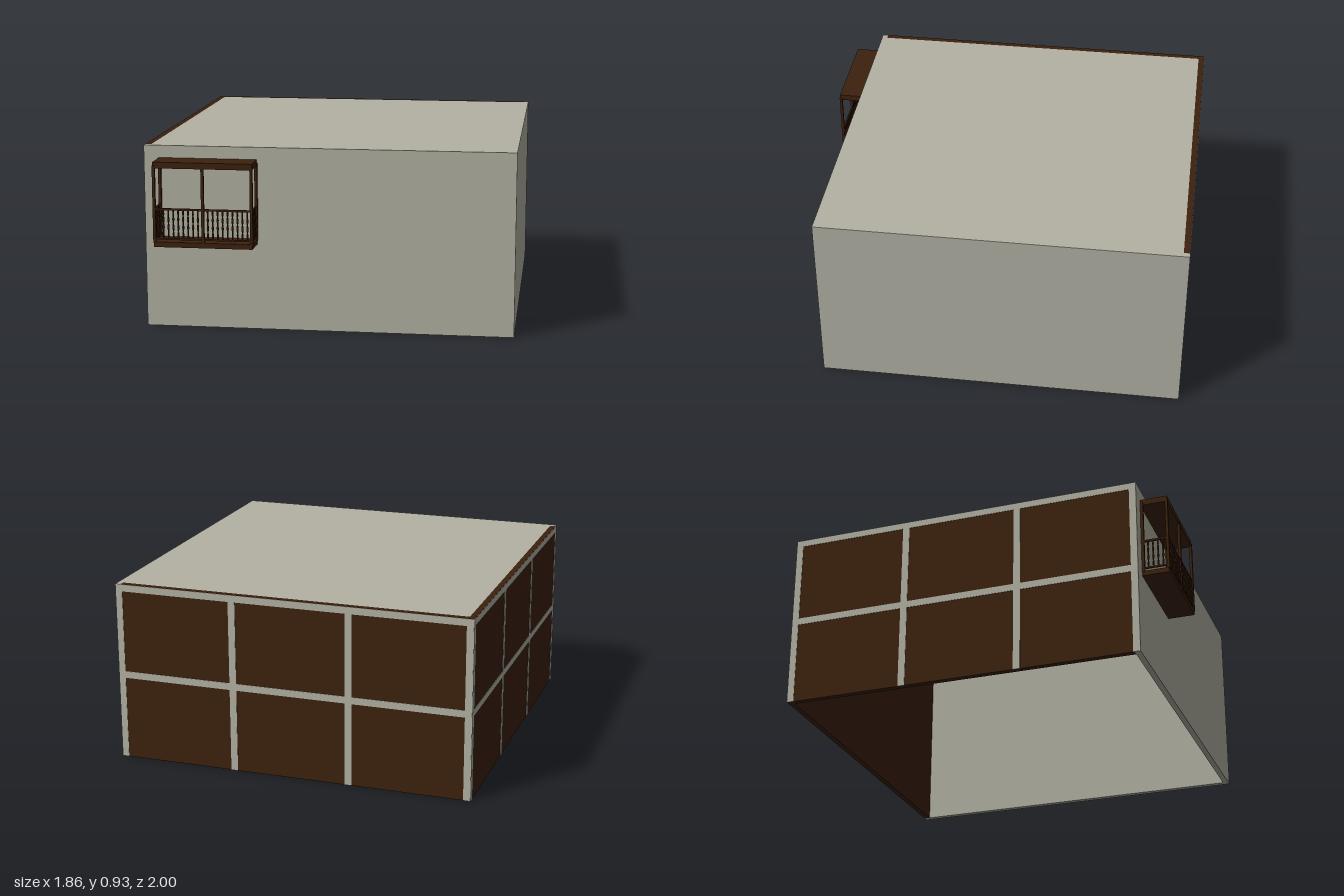
import * as THREE from 'three';

export function createModel() {
  const model = new THREE.Group();
  const plaster = new THREE.MeshStandardMaterial({ color: 0xb3b2a4 });
  plaster.name = 'plaster grey';
  const wood = new THREE.MeshStandardMaterial({ color: 0x3d210e });
  wood.name = 'dark wood';

  // Box given by its limits on each axis
  function box(name, material, [x0, x1], [y0, y1], [z0, z1], parent = model) {
    const mesh = new THREE.Mesh(new THREE.BoxGeometry(x1 - x0, y1 - y0, z1 - z0), material);
    mesh.position.set((x0 + x1) / 2, (y0 + y1) / 2, (z0 + z1) / 2);
    mesh.name = name;
    parent.add(mesh);
    return mesh;
  }

  const W = 0.93, H = 0.93, T = 0.03, back = -0.998, front = 0.86;

  // Shell, open underneath: two plain walls, two wooden walls and a roof
  box('frontWall', plaster, [-W, W], [0, H], [front - T, front]);
  box('rightWall', plaster, [W - T, W], [0, H], [back, front - T]);
  box('backWoodWall', wood, [-W, W - T], [0, H], [back, back + T]);
  box('sideWoodWall', wood, [-W, -W + T], [0, H], [back + T, front - T]);
  box('roof', plaster, [-W + T, W - T], [H - T, H], [back + T, front - T]);

  // Frame strips dividing each wooden wall into three by two panels
  const strip = 0.036, proud = 0.002;
  function frame(name, a0, a1, place) {
    const group = new THREE.Group();
    group.name = name;
    model.add(group);
    for (let i = 0; i <= 3; i++) {
      const c = a0 + strip / 2 + (a1 - a0 - strip) * i / 3;
      place(group, 'upright', [c - strip / 2, c + strip / 2], [0, H - 0.001]);
    }
    for (const y of [0.45, H - 0.001 - strip / 2])
      place(group, 'crossbar', [a0, a1], [y - strip / 2, y + strip / 2]);
  }
  frame('backFrame', -W, W, (g, n, a, y) => box(n, plaster, a, y, [back - proud, back], g));
  frame('sideFrame', back, front, (g, n, a, y) => box(n, plaster, [-W - proud, -W], y, a, g));

  // Balcony hung on the front wall
  const balcony = new THREE.Group();
  balcony.name = 'balcony';
  model.add(balcony);
  const L = -0.855, R = -0.358, F = 0.997;
  box('balconyFloor', wood, [L, R], [0.44, 0.466], [front, F], balcony);
  box('balconyRoof', wood, [L, R], [0.837, 0.868], [front, F], balcony);

  // Posts
  const p = 0.007, zFront = 1 - p, zBack = front + p, mid = (L + R) / 2;
  const posts = [[L + 0.004, zFront], [mid, zFront], [R - 0.004, zFront], [L + 0.004, zBack], [R - 0.004, zBack]];
  for (const [x, z] of posts)
    box('post', wood, [x - p, x + p], [0.46, 0.85], [z - p, z + p], balcony);

  // Top and bottom rails
  const r = 0.004;
  for (const [y, h] of [[0.632, 0.005], [0.482, 0.004]]) {
    box('frontRail', wood, [L, R], [y - h, y + h], [zFront - r, zFront + r], balcony);
    for (const x of [L + 0.004, R - 0.004])
      box('sideRail', wood, [x - r, x + r], [y - h, y + h], [front, zFront], balcony);
  }

  // Turned balusters
  const profile = [[0.0045, 0], [0.0045, 0.03], [0.003, 0.038], [0.006, 0.06], [0.003, 0.08],
    [0.006, 0.1], [0.003, 0.118], [0.0045, 0.125], [0.0045, 0.15]];
  const balusterShape = new THREE.LatheGeometry(profile.map(([x, y]) => new THREE.Vector2(x, y)), 8);
  function baluster(x, z) {
    const mesh = new THREE.Mesh(balusterShape, wood);
    mesh.name = 'baluster';
    mesh.position.set(x, 0.482, z);
    balcony.add(mesh);
  }
  const bay = (R - L) / 2;
  for (let i = 1; i <= 9; i++)
    for (const start of [L, mid]) baluster(start + bay * i / 10, zFront);
  for (let i = 1; i <= 4; i++)
    for (const x of [L + 0.004, R - 0.004]) baluster(x, zBack + (zFront - zBack) * i / 5);

  return model;
}
